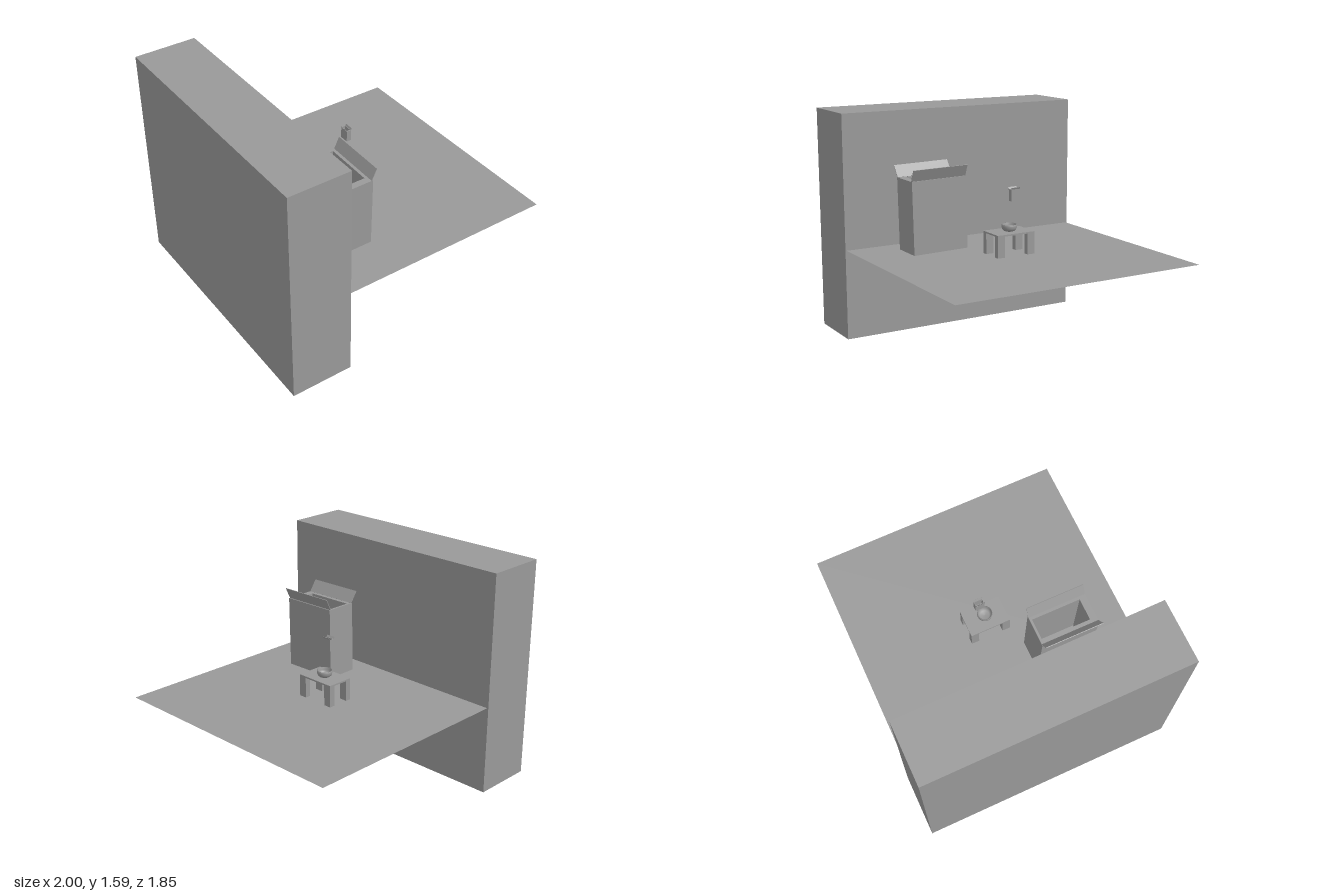
import * as THREE from 'three';

const grey = new THREE.MeshStandardMaterial({ color: 0x999999 });
grey.name = 'plainGrey';
const greySheet = new THREE.MeshStandardMaterial({ color: 0x999999, side: THREE.DoubleSide });
greySheet.name = 'plainGreySheet';

function add(parent, name, geometry, material = grey) {
  const mesh = new THREE.Mesh(geometry, material);
  mesh.name = name;
  parent.add(mesh);
  return mesh;
}

// Box given by its limits on each axis
function block(parent, name, [x0, x1], [y0, y1], [z0, z1]) {
  const g = new THREE.BoxGeometry(x1 - x0, y1 - y0, z1 - z0);
  g.translate((x0 + x1) / 2, (y0 + y1) / 2, (z0 + z1) / 2);
  return add(parent, name, g);
}

// Rectangular outline, counter-clockwise
function rectangle(Type, x0, x1, y0, y1) {
  const p = new Type();
  p.moveTo(x0, y0);
  p.lineTo(x1, y0);
  p.lineTo(x1, y1);
  p.lineTo(x0, y1);
  p.closePath();
  return p;
}

// Open carton with thick walls and two raised side flaps
function carton(name) {
  const group = new THREE.Group();
  group.name = name;
  const w = 0.225, h = 0.508, d = 0.412;

  const outline = rectangle(THREE.Shape, -w / 2, w / 2, -d / 2, d / 2);
  outline.holes.push(rectangle(THREE.Path, -0.075, 0.079, -0.158, 0.189));
  const walls = new THREE.ExtrudeGeometry(outline, { depth: h, bevelEnabled: false });
  walls.rotateX(-Math.PI / 2);
  add(group, 'cartonWalls', walls);
  block(group, 'cartonBase', [-0.09, 0.09], [0.001, 0.02], [-0.2, 0.18]);

  // Each flap leans outward from its hinge
  for (const [flapName, hinge, run, rise] of [['rightFlap', -0.103, -0.054, 0.077], ['leftFlap', 0.102, 0.037, 0.08]]) {
    const flap = add(group, flapName, new THREE.BoxGeometry(0.004, Math.hypot(run, rise), d));
    flap.position.set(hinge + run / 2, h + rise / 2, 0);
    flap.rotation.z = -Math.atan2(run, rise);
  }
  group.rotation.x = 0.02;
  return group;
}

export function createModel() {
  const model = new THREE.Group();
  model.name = 'roomCorner';

  // Wall and floor sheet
  block(model, 'wall', [-1, -0.56], [0, 1.59], [-0.923, 0.923]);
  const floor = new THREE.PlaneGeometry(1.57, 1.828);
  floor.rotateX(-Math.PI / 2);
  floor.translate(0.215, 0.64, 0);
  add(model, 'floor', floor, greySheet);

  // Table, its feet just through the floor
  const table = new THREE.Group();
  table.name = 'table';
  model.add(table);
  block(table, 'tableTop', [-0.018, 0.176], [0.786, 0.797], [-0.155, 0.136]);
  for (const x of [[-0.018, 0.022], [0.136, 0.176]]) {
    for (const z of [[-0.155, -0.099], [0.08, 0.136]]) block(table, 'tableLeg', x, [0.637, 0.787], z);
  }

  // Round bowl on the table
  const profile = [
    [0, 0], [0.026, 0], [0.037, 0.004], [0.046, 0.012], [0.051, 0.023], [0.053, 0.036], [0.052, 0.048],
    [0.048, 0.048], [0.047, 0.03], [0.042, 0.017], [0.032, 0.009], [0, 0.006],
  ].map(([x, y]) => new THREE.Vector2(x, y));
  const bowl = add(model, 'bowl', new THREE.LatheGeometry(profile, 32), greySheet);
  bowl.position.set(0.083, 0.797, -0.01);

  // Large carton on the floor, small one hovering above the table
  const large = carton('largeCarton');
  large.position.set(-0.277, 0.649, 0.383);
  const small = carton('smallCarton');
  small.scale.setScalar(0.16);
  small.position.set(0.085, 1.004, -0.05);
  model.add(large, small);

  return model;
}
